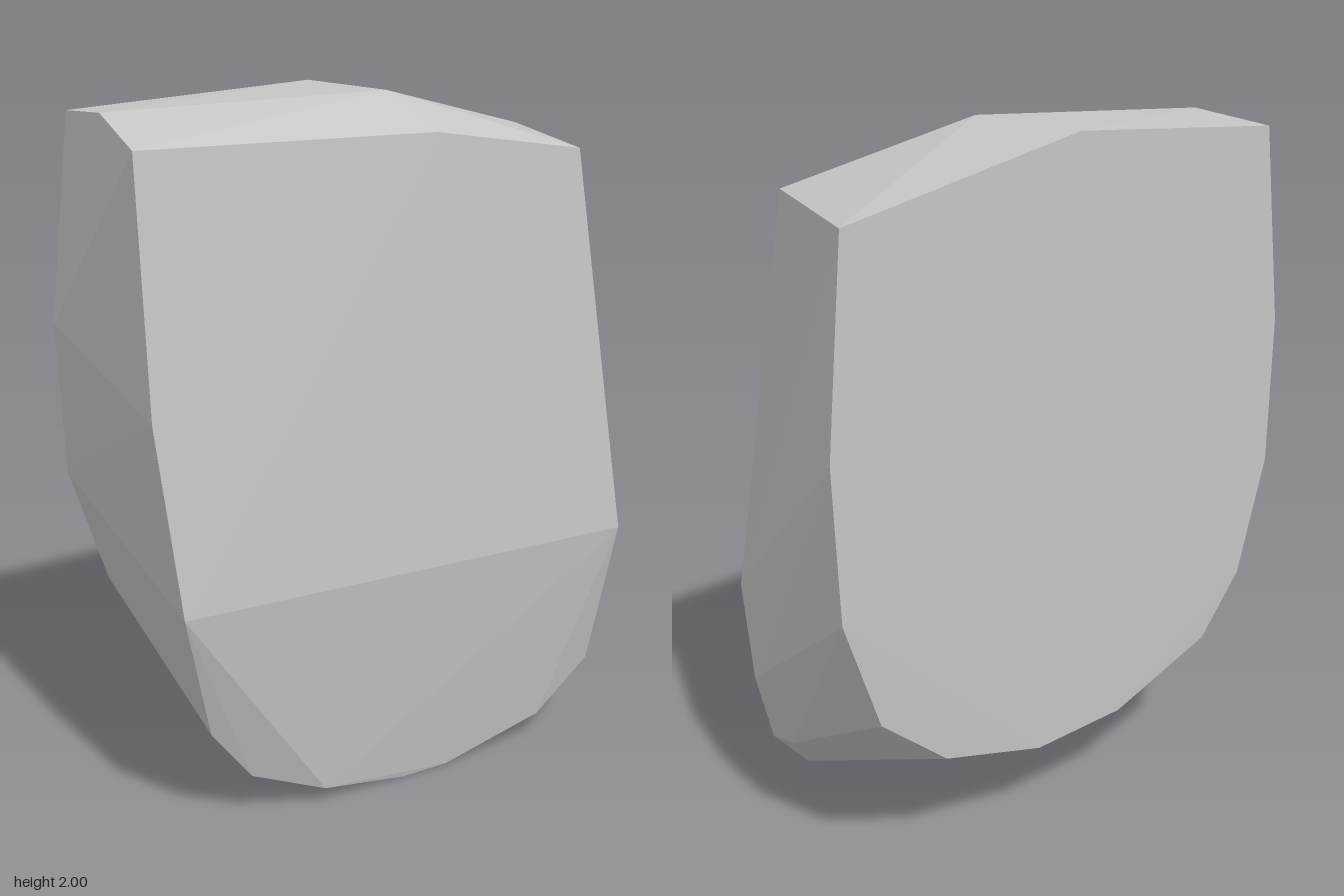
import * as THREE from 'three';
import { ConvexGeometry } from 'three/addons/geometries/ConvexGeometry.js';

export function createModel() {
  const model = new THREE.Group();
  const stone = new THREE.MeshStandardMaterial({ color: 0xc5c5c5 });
  stone.name = 'light stone grey';

  // Outline of the flat back, clockwise from the top
  const back = [
    [0.01, 2, -0.347], [0.77, 1.84, -0.347], [0.82, 1.27, -0.347], [0.8, 0.84, -0.347],
    [0.68, 0.515, -0.335], [0.46, 0.335, -0.33], [0.12, 0.245, -0.33], [-0.195, 0.26, -0.332],
    [-0.55, 0.395, -0.337], [-0.69, 0.58, -0.345], [-0.8, 0.93, -0.34], [-0.82, 1.37, -0.33],
    [-0.755, 1.95, -0.32],
  ];
  // Bevelled top
  const top = [
    [0, 2, 0.095], [-0.795, 1.97, 0.01], [-0.815, 1.9, 0.252], [0.05, 1.9, 0.272], [0.535, 1.83, 0.272],
  ];
  // Bulging front and its rounded lower rim
  const front = [
    [-0.815, 1.23, 0.303], [-0.765, 0.71, 0.345], [0.68, 0.69, 0.347],
    [0.71, 0.44, 0.245], [0.662, 0.26, 0.13], [0.655, 0.23, 0.25], [0.56, 0.125, 0.22],
    [0.47, 0.08, 0.245], [0.13, 0, 0.24], [-0.02, 0, 0.24], [-0.25, 0.025, 0.225],
    [-0.3, 0.05, 0.255], [-0.52, 0.14, 0.225], [-0.65, 0.31, 0.24],
  ];

  // The faceted block is the convex skin around all corners
  const corners = [...back, ...top, ...front].map((p) => new THREE.Vector3(...p));
  const block = new THREE.Mesh(new ConvexGeometry(corners), stone);
  block.name = 'stoneBlock';
  model.add(block);
  return model;
}
